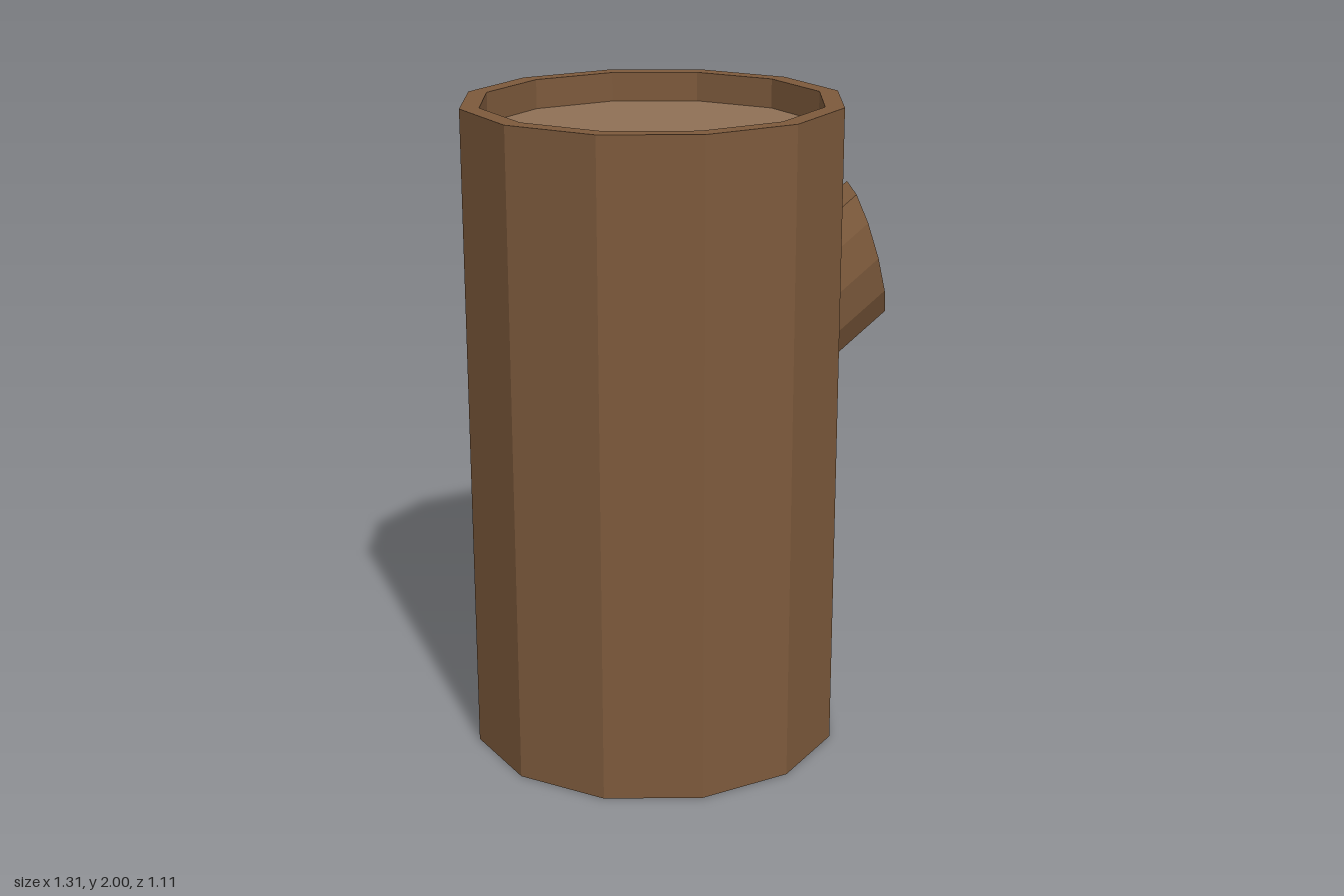
import * as THREE from 'three';

const SIDES = 12;
const bark = new THREE.MeshStandardMaterial({ color: 0x7d5a3c, flatShading: true });
const cutWood = new THREE.MeshStandardMaterial({ color: 0x8f7056, flatShading: true });

// Twelve-sided solid of revolution from [radius, height] pairs
function turned(points) {
  return new THREE.LatheGeometry(points.map(([r, y]) => new THREE.Vector2(r, y)), SIDES);
}

function add(parent, name, geometry, material) {
  const mesh = new THREE.Mesh(geometry, material);
  mesh.name = name;
  parent.add(mesh);
}

export function createModel() {
  const model = new THREE.Group();
  model.name = 'log';

  // Trunk: bark shell with recessed cut faces at both ends
  const outer = 0.573, inner = 0.515, height = 2, recess = 0.09;
  const trunk = new THREE.Group();
  trunk.name = 'trunk';
  trunk.position.x = -0.082;
  trunk.scale.z = 0.97;
  add(trunk, 'trunkBark', turned([
    [inner, recess], [inner, 0], [outer, 0],
    [outer, height], [inner, height], [inner, height - recess],
  ]), bark);
  add(trunk, 'topCut', turned([[inner, height - recess], [0, height - recess]]), cutWood);
  add(trunk, 'bottomCut', turned([[0, recess], [inner, recess]]), cutWood);
  model.add(trunk);

  // Branch stub: oval, rising outwards, with a slanted end cut
  const slant = new THREE.Matrix4().makeBasis(
    new THREE.Vector3(0.06, -0.215, 0),
    new THREE.Vector3(0.776, 0.63, 0),
    new THREE.Vector3(0, 0, 0.132),
  ).setPosition(0.592, 1.505, -0.013);
  const branch = new THREE.Group();
  branch.name = 'branch';
  add(branch, 'branchBark',
    turned([[1, -0.4], [1, 0], [0.9, 0], [0.9, -0.025]]).applyMatrix4(slant), bark);
  add(branch, 'branchCut',
    turned([[0.9, -0.025], [0, -0.025]]).applyMatrix4(slant), bark);
  model.add(branch);

  return model;
}
